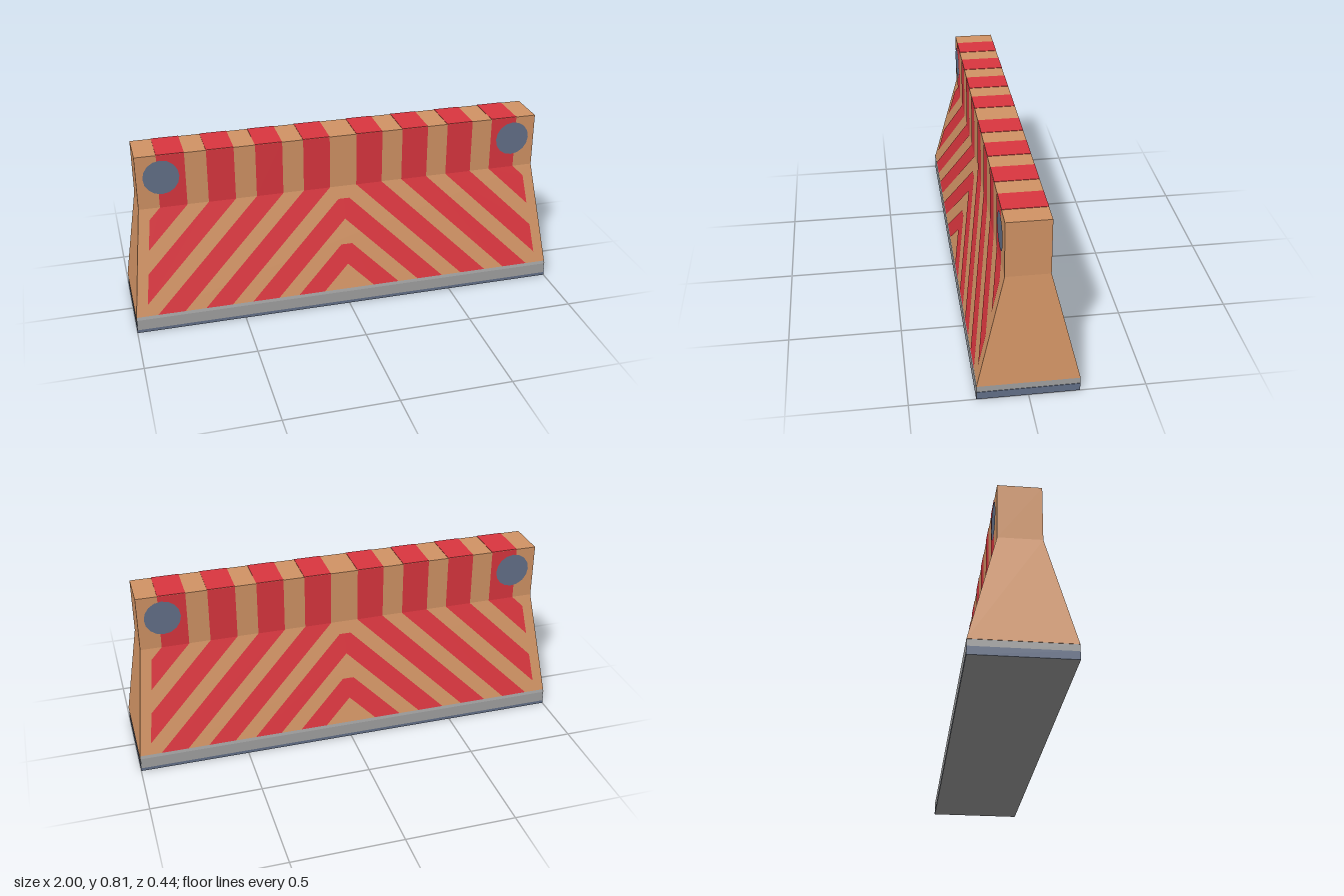
import * as THREE from 'three';

const BASE = 0.066, BEND = 0.56, TOP = 0.812, BAND = 0.08;
const HALF_X = [1, 0.938], HALF_Z = [0.218, 0.094];
const SLOPE = 0.97; // drop of the chevron stripes per unit of width

const mat = (name, color) => new THREE.MeshStandardMaterial({ name, color });

// half width and half depth of the barrier at height y
const blend = (pair, y) => THREE.MathUtils.lerp(pair[0], pair[1],
  THREE.MathUtils.clamp((y - BASE) / (BEND - BASE), 0, 1));

// keep the part of a convex polygon where f(x, y) >= 0 (f linear)
function clip(points, f) {
  const out = [];
  points.forEach((p, i) => {
    const q = points[(i + 1) % points.length];
    const a = f(...p), b = f(...q);
    if (a >= 0) out.push(p);
    if (a * b < 0) {
      const t = a / (a - b);
      out.push([p[0] + (q[0] - p[0]) * t, p[1] + (q[1] - p[1]) * t]);
    }
  });
  return out;
}

// flat polygon draped on the front face
function plate(name, points, material, lift = 0.002) {
  const shape = new THREE.Shape(points.map(([x, y]) => new THREE.Vector2(x, y)));
  const g = new THREE.ShapeGeometry(shape);
  const pos = g.attributes.position;
  for (let i = 0; i < pos.count; i++) pos.setZ(i, blend(HALF_Z, pos.getY(i)) + lift);
  g.computeVertexNormals();
  const mesh = new THREE.Mesh(g, material);
  mesh.name = name;
  return mesh;
}

const rect = (x0, x1, y0, y1) => [[x0, y0], [x1, y0], [x1, y1], [x0, y1]];

export function createModel() {
  const model = new THREE.Group();
  model.name = 'roadBarrier';
  const tan = mat('tan concrete', 0xd29465);
  const red = mat('red paint', 0xdb363f);
  const grey = mat('grey base', 0xa3a3a3);
  const slate = mat('slate blue', 0x64718a);

  const box = (name, w, h, d, x, y, z, material) => {
    const m = new THREE.Mesh(new THREE.BoxGeometry(w, h, d), material);
    m.position.set(x, y, z);
    m.name = name;
    model.add(m);
  };

  // body: box with two rows, tapered up to the bend
  let body = new THREE.BoxGeometry(2, 2, 2, 1, 2, 1);
  const pos = body.attributes.position;
  for (let i = 0; i < pos.count; i++) {
    const y = [BASE, BEND, TOP][Math.round(pos.getY(i)) + 1];
    pos.setXYZ(i, pos.getX(i) * blend(HALF_X, y), y, pos.getZ(i) * blend(HALF_Z, y));
  }
  body = body.toNonIndexed();
  body.computeVertexNormals();
  const bodyMesh = new THREE.Mesh(body, tan);
  bodyMesh.name = 'body';
  model.add(bodyMesh);

  // base slab with slate strips on the ends
  box('baseSlab', 1.996, BASE, 0.436, 0, BASE / 2, 0, grey);
  for (const s of [-1, 1]) box('endStrip', 0.002, 0.036, 0.436, s * 0.999, 0.018, 0, slate);

  // painted front face
  const front = new THREE.Group();
  front.name = 'frontPaint';
  front.add(plate('lowerBand', rect(-0.998, 0.998, BASE, BAND), grey));
  front.add(plate('footStrip', rect(-1, 1, 0, 0.015), slate, 0.001));

  const stripes = [-0.375, -0.156, 0.063, 0.282, 0.501, 0.72].map(x => [x, x + 0.123]);
  for (const s of [-1, 1]) {
    const flip = points => points.map(([x, y]) => [s * x, y]);
    for (const [a, b] of stripes) {
      // diagonal run on the slope, kept inside the edges
      const run = (BEND - BAND) / SLOPE;
      let p = [[a + run, BAND], [b + run, BAND], [b, BEND], [a, BEND]];
      p = clip(p, x => x);
      p = clip(p, (x, y) => 1 - (y - BASE) * (1 - 0.938) / (BEND - BASE) - 0.05 - x);
      if (a < 0) { // blunt tip where the two halves meet
        const tip = BEND + b * SLOPE - 0.025;
        p = clip(p, (x, y) => tip - y);
      }
      front.add(plate('slopeStripe', flip(p), red));
      // upright run
      if (a > 0) front.add(plate('uprightStripe', flip(rect(a, b, BEND, TOP)), red));
    }
    const disc = new THREE.Mesh(new THREE.CircleGeometry(0.081, 16), slate);
    disc.position.set(s * 0.828, 0.707, HALF_Z[1] + 0.004);
    disc.name = 'endDisc';
    front.add(disc);
  }
  const back = front.clone();
  back.name = 'backPaint';
  back.rotation.y = Math.PI;
  model.add(front, back);

  // stripes across the top
  for (const [a, b] of stripes.slice(2)) {
    for (const s of [-1, 1]) {
      box('topStripe', b - a, 0.002, 2 * HALF_Z[1], s * (a + b) / 2, TOP + 0.001, 0, red);
    }
  }
  return model;
}
